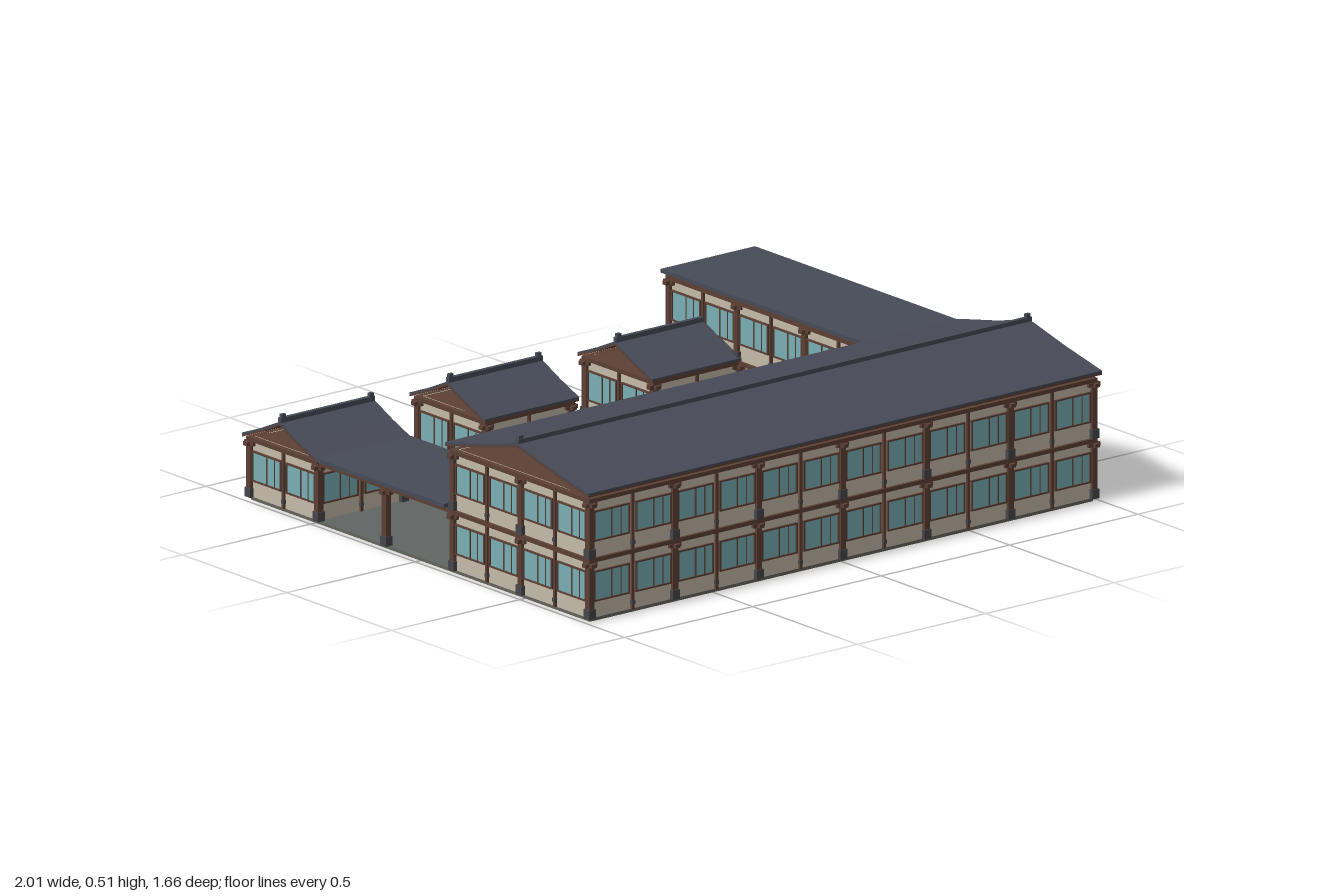
import * as THREE from 'three';
import { mergeGeometries } from 'three/addons/utils/BufferGeometryUtils.js';

const mat = (name, color) => Object.assign(new THREE.MeshStandardMaterial({ color }), { name });
const plaster = mat('plaster', 0xc4baa8);
const glass = mat('glass', 0x78aeb4);
const timber = mat('timber', 0x5c4035);
const slate = mat('slate', 0x474b57);
const stone = mat('stone', 0x47464a);
const paving = mat('paving', 0x616564);
const slabSide = mat('slabSide', 0x67635b);

// Plan grid: six modules across, five deep, two storeys
const MX = 1.96 / 6, MZ = 1.62 / 5, H = 0.19;
const gx = i => -0.98 + i * MX;
const gz = j => -0.81 + j * MZ;
const floorY = s => 0.01 + s * H;

export function createModel() {
  const root = new THREE.Group();
  root.name = 'courtyardBuilding';
  const parts = new Map();
  const placedPosts = new Set();

  const add = (name, material, geo) => {
    if (!parts.has(name)) parts.set(name, { material, list: [] });
    parts.get(name).list.push(geo);
  };
  const box = (name, material, w, h, d, x, y, z, m) => {
    const g = new THREE.BoxGeometry(w, h, d).translate(x, y, z);
    if (m) g.applyMatrix4(m);
    add(name, material, g);
  };

  // Main post with stone foot and bracket arms
  const post = (x, z, s) => {
    const key = [x.toFixed(2), z.toFixed(2), s].join();
    if (placedPosts.has(key)) return;
    placedPosts.add(key);
    const y = floorY(s);
    box('post', timber, 0.02, H, 0.02, x, y + H / 2, z);
    box('postFoot', stone, 0.027, 0.03, 0.027, x, y + 0.015, z);
    box('bracket', timber, 0.045, 0.012, 0.018, x, y + 0.17, z);
    box('bracket', timber, 0.018, 0.012, 0.045, x, y + 0.17, z);
  };

  // One half module holding a sliding window
  const windowBay = (u, w, m) => {
    const ww = 0.134, wh = 0.092, y = 0.1;
    box('wall', plaster, w, H, 0.012, u, H / 2, -0.006, m);
    box('windowGlass', glass, ww, wh, 0.004, u, y, 0.001, m);
    for (const s of [-1, 1]) {
      box('windowFrame', timber, ww + 0.006, 0.005, 0.01, u, y + s * wh / 2, 0.002, m);
      box('windowFrame', timber, 0.005, wh, 0.01, u + s * ww / 2, y, 0.002, m);
    }
    box('windowFrame', timber, 0.004, wh, 0.007, u, y, 0.002, m);
    box('windowFrame', timber, 0.0025, wh, 0.006, u + ww * 0.27, y, 0.002, m);
  };

  // One half module holding an open doorway
  const doorBay = (u, w, m) => {
    const dw = 0.128, dh = 0.148, side = (w - dw) / 2;
    box('wall', plaster, w, H - dh, 0.012, u, (H + dh) / 2, -0.006, m);
    box('doorFrame', timber, dw + 0.012, 0.008, 0.018, u, dh, -0.004, m);
    for (const s of [-1, 1]) {
      box('wall', plaster, side, dh, 0.012, u + s * (dw + side) / 2, dh / 2, -0.006, m);
      box('doorFrame', timber, 0.009, dh, 0.018, u + s * dw / 2, dh / 2, -0.004, m);
    }
  };

  // One module of wall; angle turns its outside from +z
  const wall = (x, z, s, angle, w, door) => {
    const m = new THREE.Matrix4().makeRotationY(angle).setPosition(x, floorY(s), z);
    (door ? doorBay : windowBay)(-w / 4, w / 2, m);
    windowBay(w / 4, w / 2, m);
    box('midPost', timber, 0.009, H, 0.012, 0, H / 2, 0.002, m);
    box('midPostFoot', stone, 0.012, 0.012, 0.014, 0, 0.022, 0.003, m);
    box('beam', timber, w, 0.013, 0.018, 0, H - 0.006, 0.001, m);
  };

  // Rectangular room of i0..i1 by j0..j1 modules
  const room = (i0, i1, j0, j1, s, { backDoors = false, front = true, left = true } = {}) => {
    for (let i = i0; i < i1; i++) {
      const x = gx(i + 0.5);
      if (front) wall(x, gz(j1), s, 0, MX, false);
      wall(x, gz(j0), s, Math.PI, MX, backDoors);
    }
    for (let j = j0; j < j1; j++) {
      const z = gz(j + 0.5);
      if (left) wall(gx(i1), z, s, Math.PI / 2, MZ, false);
      wall(gx(i0), z, s, -Math.PI / 2, MZ, false);
    }
    for (let i = i0; i <= i1; i++) for (const j of [j0, j1]) post(gx(i), gz(j), s);
    for (let j = j0; j <= j1; j++) for (const i of [i0, i1]) post(gx(i), gz(j), s);
    deck(i0, i1, j0, j1, floorY(s + 1) - 0.004);
  };

  // Timber floor or ceiling
  const deck = (i0, i1, j0, j1, y) => box('deck', timber, (i1 - i0) * MX, 0.008, (j1 - j0) * MZ,
    gx((i0 + i1) / 2), y, gz((j0 + j1) / 2));

  // Slightly sagging gable roof: slate over a timber lining
  const gableRoof = (x0, x1, zc, half, eave, ridge) => {
    const rise = ridge - eave;
    const line = [[-1, 0], [-0.5, 0.46], [0, 1], [0.5, 0.46], [1, 0]].map(([a, b]) => [a * half, eave + b * rise]);
    const layer = (name, material, lo, hi) => {
      const pts = [...line.map(([z, y]) => new THREE.Vector2(z, y + lo)),
        ...line.slice().reverse().map(([z, y]) => new THREE.Vector2(z, y + hi))];
      const g = new THREE.ExtrudeGeometry(new THREE.Shape(pts), { depth: x1 - x0, bevelEnabled: false });
      add(name, material, g.rotateY(Math.PI / 2).translate(x0, 0, zc).toNonIndexed());
    };
    layer('roofTiles', slate, -0.007, 0);
    layer('roofLining', timber, -0.013, -0.007);
    box('ridgeCap', slate, x1 - x0, 0.016, 0.014, (x0 + x1) / 2, ridge + 0.004, zc);
    for (const x of [x0 + 0.012, x1 - 0.012]) box('ridgeEnd', slate, 0.016, 0.026, 0.012, x, ridge + 0.01, zc);
  };

  // Flat slate roof with a timber edge below
  const flatRoof = (x0, x1, z0, z1, y) => {
    const w = x1 - x0, d = z1 - z0, x = (x0 + x1) / 2, z = (z0 + z1) / 2;
    box('flatRoof', slate, w, 0.012, d, x, y + 0.006, z);
    box('flatRoofLining', timber, w - 0.02, 0.008, d - 0.02, x, y - 0.004, z);
  };

  // Ground slab with paved top
  box('groundSlab', slabSide, 1.96, 0.008, 1.62, 0, 0.004, 0);
  box('courtyardPaving', paving, 1.96, 0.002, 1.62, 0, 0.009, 0);

  // Main two-storey block
  room(0, 6, 3, 5, 0, { backDoors: true });
  room(0, 6, 3, 5, 1);
  gableRoof(-1, 1, gz(4), 0.343, 0.413, 0.491);

  // Two-storey wing on the left, with an open passage beneath
  room(5, 6, 0, 1, 0, { backDoors: true });
  room(5, 6, 0, 3, 1, { front: false });
  deck(5, 6, 1, 3, floorY(1) - 0.004);
  flatRoof(0.633, 1, -0.83, 0.14, 0.398);

  // Low covered walk on the right
  flatRoof(-1, -0.635, -0.47, 0.137, 0.203);

  // Passage posts and beams
  for (const i of [0, 1, 5, 6]) {
    post(gx(i), gz(2), 0);
    box('passageBeam', timber, 0.016, 0.012, 2 * MZ, gx(i), 0.194, gz(2));
  }

  // Three small gabled gatehouses along the back
  for (const i of [0, 2, 4]) {
    room(i, i + 1, 0, 1, 0, { backDoors: true, left: i < 4 });
    gableRoof(gx(i) - 0.02, gx(i + 1) + 0.02, gz(0.5) + 0.0, 0.18, 0.211, 0.288);
  }

  for (const [name, { material, list }] of parts) {
    const mesh = new THREE.Mesh(mergeGeometries(list), material);
    mesh.name = name;
    root.add(mesh);
  }
  return root;
}
